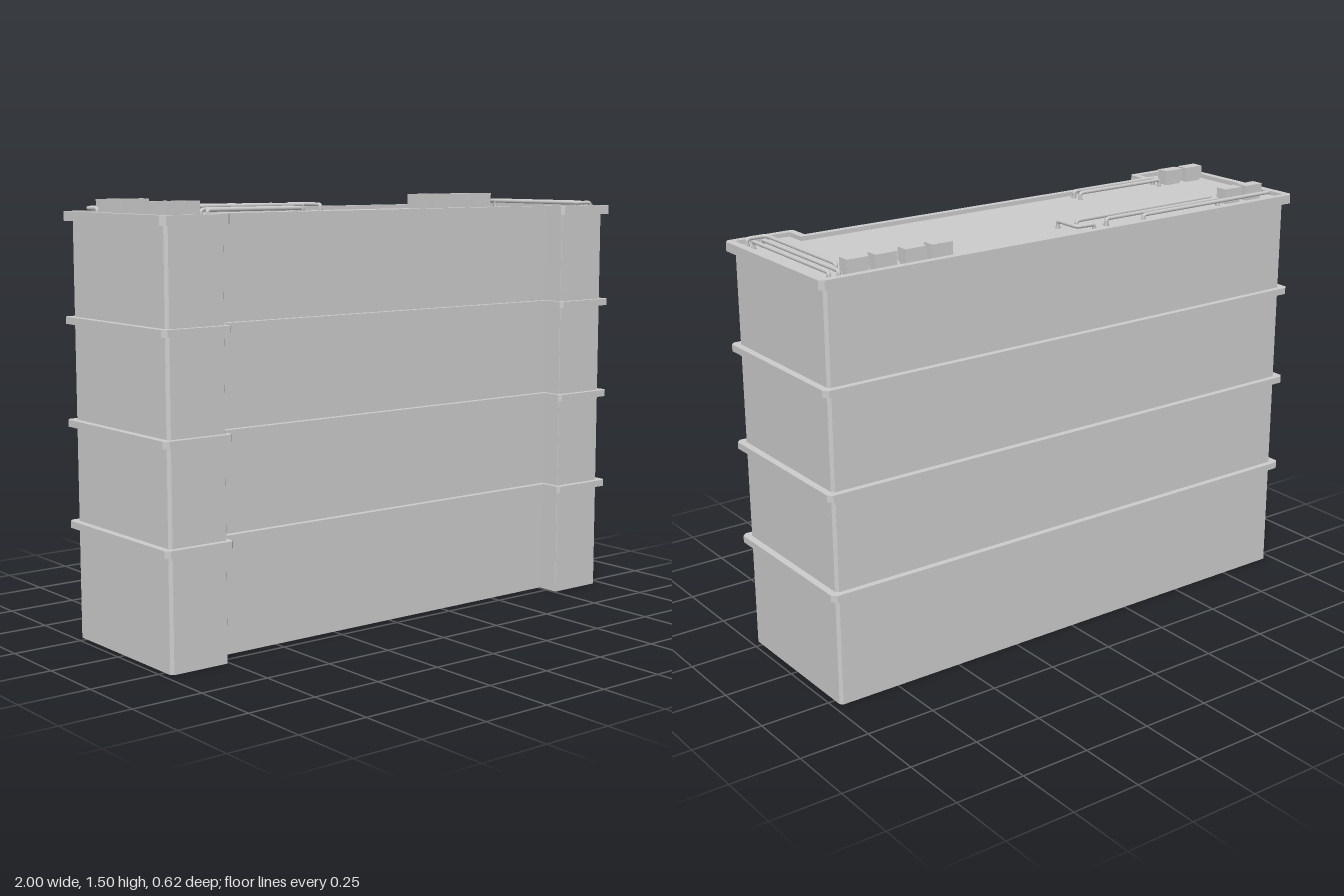
import * as THREE from 'three';

const material = new THREE.MeshStandardMaterial({ color: 0xcccccc, flatShading: true });
const shellMaterial = new THREE.MeshStandardMaterial({ color: 0xcccccc, flatShading: true, side: THREE.DoubleSide });
const pipeMaterial = new THREE.MeshStandardMaterial({ color: 0xcccccc });

// U-shaped floor plan with chamfered convex corners, as [x, z] points.
function outline(x, z, notchX, notchZ, bevel, notchBevel) {
  const b = bevel, n = notchBevel;
  const half = [
    [notchX, notchZ], [notchX, z - n], [notchX + n, z],
    [x - b, z], [x, z - b], [x, -z + b], [x - b, -z],
  ];
  return [...half, ...half.map(([px, pz]) => [-px, pz]).reverse()];
}

// Shape y is -z so that the extrusion rises along y.
const toVectors = (pts) => pts.map(([x, z]) => new THREE.Vector2(x, -z));

function slab(pts, y0, y1, holePts) {
  const shape = new THREE.Shape(toVectors(pts));
  if (holePts) shape.holes.push(new THREE.Path(toVectors(holePts)));
  const geo = new THREE.ExtrudeGeometry(shape, { depth: y1 - y0, bevelEnabled: false });
  return geo.rotateX(-Math.PI / 2).translate(0, y0, 0);
}

// Open wall strip following the plan.
function walls(pts, y0, y1) {
  const pos = [];
  pts.forEach(([ax, az], i) => {
    const [bx, bz] = pts[(i + 1) % pts.length];
    pos.push(ax, y0, az, ax, y1, az, bx, y1, bz, ax, y0, az, bx, y1, bz, bx, y0, bz);
  });
  const geo = new THREE.BufferGeometry();
  geo.setAttribute('position', new THREE.Float32BufferAttribute(pos, 3));
  geo.computeVertexNormals();
  return geo;
}

export function createModel() {
  const group = new THREE.Group();
  const add = (name, geo, mat = material, parent = group) => {
    const mesh = new THREE.Mesh(geo, mat);
    mesh.name = name;
    parent.add(mesh);
    return mesh;
  };
  const roofY = 1.45;

  // Walls: open-bottomed ground floor with a slightly recessed front, then upper floors
  add('groundFloorWalls', walls(outline(0.975, 0.29, 0.758, 0.205, 0.01, 0.001), 0, 0.395), shellMaterial);
  add('upperWalls', walls(outline(0.975, 0.29, 0.758, 0.21, 0.01, 0.001), 0.395, 1.44), shellMaterial);
  add('lintel', new THREE.BoxGeometry(1.516, 0.065, 0.01).translate(0, 0.3625, 0.205));

  // Ledges between the floors
  const ledge = outline(1, 0.312, 0.742, 0.232, 0.015, 0.01);
  [0.4, 0.75, 1.1].forEach((y) => add('floorLedge', slab(ledge, y - 0.012, y + 0.012)));

  // Roof with a raised parapet
  const inner = outline(0.972, 0.287, 0.768, 0.208, 0.003, 0.001);
  add('parapet', slab(ledge, 1.433, 1.465, inner));
  add('roof', slab(inner, 1.433, roofY));

  // Rooftop ventilation units
  const units = [
    [-0.91, 0.155], [-0.81, 0.155], [-0.87, -0.215], [-0.77, -0.215],
    [0.527, -0.25], [0.628, -0.25], [0.739, -0.25], [0.842, -0.25],
  ];
  for (const [x, z] of units) {
    const unit = new THREE.Group();
    unit.name = 'ventilationUnit';
    unit.position.set(x, roofY, z);
    add('unitCase', new THREE.BoxGeometry(0.08, 0.045, 0.046).translate(0, 0.0325, 0), material, unit);
    add('unitBase', new THREE.BoxGeometry(0.07, 0.012, 0.04).translate(0, 0.006, 0), material, unit);
    add('unitOutlet', new THREE.BoxGeometry(0.008, 0.014, 0.008).translate(0.02, 0.02, 0.025), material, unit);
    group.add(unit);
  }

  // Rooftop pipes: each drops to the roof at both ends and rounds its bends
  const pipes = [
    [[-0.932, -0.19], [-0.932, -0.263], [-0.32, -0.263]],
    [[-0.7, -0.231], [-0.18, -0.231]],
    [[-0.7, -0.193], [-0.08, -0.193]],
    [[-0.095, -0.27], [-0.025, -0.265], [-0.025, -0.16]],
    [[-0.74, 0.138], [-0.36, 0.138]],
    [[-0.74, 0.175], [-0.36, 0.175]],
    [[0.873, -0.19], [0.873, 0.254], [0.945, 0.254]],
    [[0.91, -0.27], [0.91, 0.21]],
    [[0.945, -0.27], [0.945, 0.21]],
  ];
  for (const plan of pipes) {
    const y = 1.475, ends = [plan[0], plan[plan.length - 1]];
    const pts = plan.map(([x, z]) => new THREE.Vector3(x, y, z));
    pts.unshift(new THREE.Vector3(ends[0][0], roofY, ends[0][1]));
    pts.push(new THREE.Vector3(ends[1][0], roofY, ends[1][1]));
    const path = new THREE.CurvePath();
    let from = pts[0];
    for (let i = 1; i < pts.length - 1; i++) {
      const r = pts[i].y === pts[i - 1].y && pts[i].y === pts[i + 1].y ? 0.02 : 0.01;
      const before = pts[i].clone().add(pts[i - 1].clone().sub(pts[i]).setLength(r));
      const after = pts[i].clone().add(pts[i + 1].clone().sub(pts[i]).setLength(r));
      path.add(new THREE.LineCurve3(from, before));
      path.add(new THREE.QuadraticBezierCurve3(before, pts[i], after));
      from = after;
    }
    path.add(new THREE.LineCurve3(from, pts[pts.length - 1]));
    add('pipe', new THREE.TubeGeometry(path, 120, 0.007, 8), pipeMaterial);
    // Collars at the pipe ends
    for (const [x, z] of ends) {
      add('pipeCollar', new THREE.CylinderGeometry(0.009, 0.009, 0.008, 8).translate(x, roofY + 0.004, z), pipeMaterial);
    }
  }

  return group;
}
